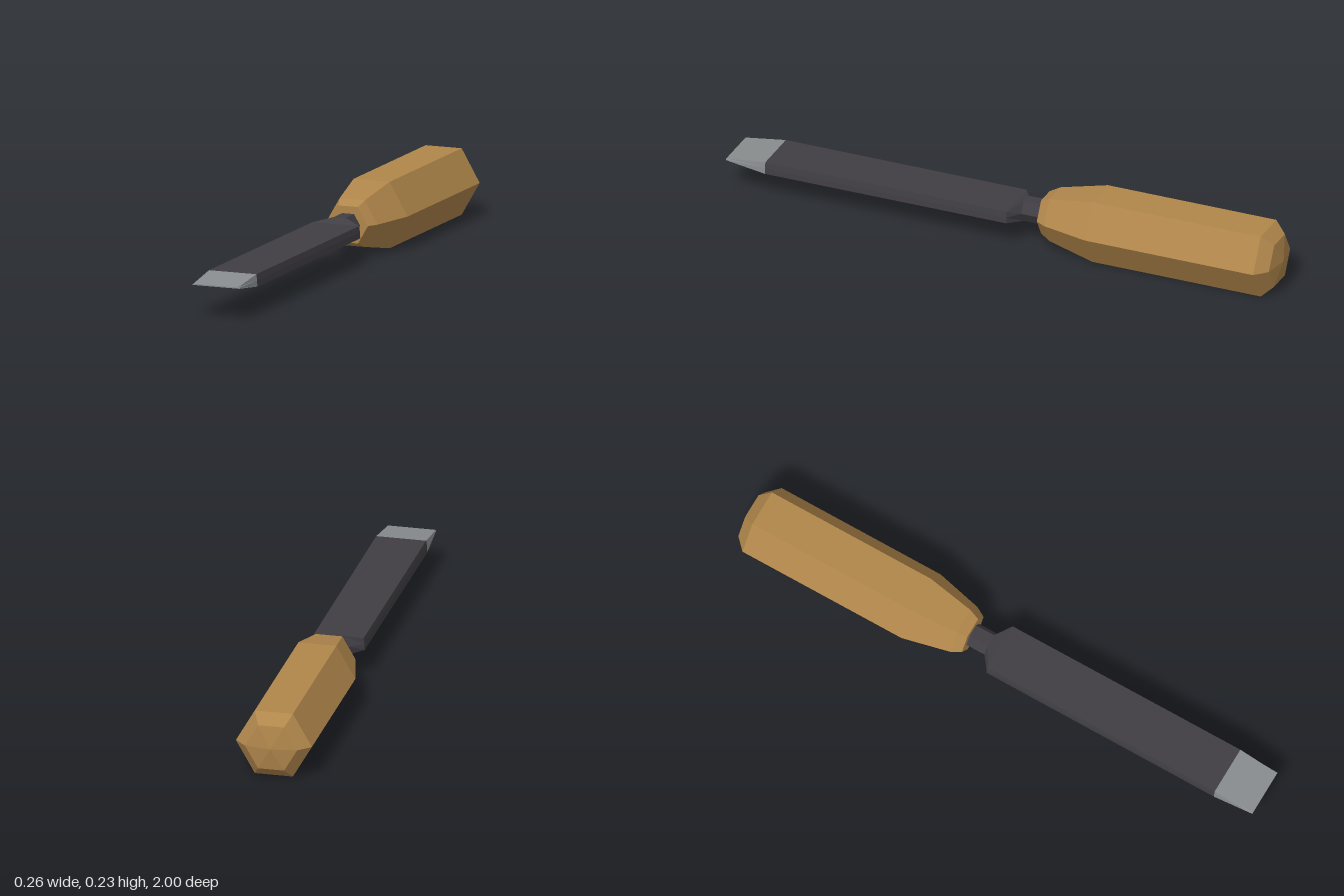
import * as THREE from 'three';

const CENTRE_Y = 0.114;

// Regular six-sided cross-section with flat top and bottom
function hex(r) {
  return Array.from({ length: 6 }, (_, i) => {
    const a = (i * Math.PI) / 3;
    return [r * Math.cos(a), r * Math.sin(a)];
  });
}

// Flat blade cross-section with six corners, matching the hex order
function slab(w, h) {
  return [[w, 0], [w - 0.003, h], [-w + 0.003, h], [-w, 0], [-w - 0.001, -h], [w + 0.001, -h]];
}

// Skin cross-sections listed from back to front and close both ends;
// backTip is the z of the centre of the back cap
function loft(name, sections, material, backTip = sections[0][0]) {
  const pos = [];
  const tri = (...pts) => pts.forEach((p) => pos.push(...p));
  const rings = sections.map(([z, pts]) => pts.map(([x, y]) => [x, y + CENTRE_Y, z]));
  const n = rings[0].length;
  const first = rings[0];
  const last = rings[rings.length - 1];
  const backCentre = [0, CENTRE_Y, backTip];
  const frontCentre = [0, CENTRE_Y, last[0][2]];
  for (let i = 0; i < n; i++) {
    const j = (i + 1) % n;
    for (let k = 0; k < rings.length - 1; k++) {
      const a = rings[k];
      const b = rings[k + 1];
      tri(a[i], a[j], b[j]);
      tri(a[i], b[j], b[i]);
    }
    tri(backCentre, first[j], first[i]);
    tri(frontCentre, last[i], last[j]);
  }
  const geometry = new THREE.BufferGeometry();
  geometry.setAttribute('position', new THREE.Float32BufferAttribute(pos, 3));
  geometry.computeVertexNormals();
  const mesh = new THREE.Mesh(geometry, material);
  mesh.name = name;
  return mesh;
}

function paint(name, color) {
  const material = new THREE.MeshStandardMaterial({ color, flatShading: true });
  material.name = name;
  return material;
}

export function createModel() {
  const wood = paint('wood', 0xb0864b);
  const darkSteel = paint('dark steel', 0x403e43);
  const brightSteel = paint('bright steel', 0x888c8e);

  const model = new THREE.Group();
  model.name = 'chisel';

  // Six-sided handle with a rounded butt and a tapered front
  model.add(loft('handle', [
    [-0.985, hex(0.09)],
    [-0.945, hex(0.131)],
    [-0.33, hex(0.131)],
    [-0.165, hex(0.092)],
    [-0.13, hex(0.072)],
  ], wood, -1));

  // Round-ish neck flaring into the blade
  model.add(loft('neck', [
    [-0.14, hex(0.043)],
    [-0.06, hex(0.043)],
    [-0.025, slab(0.088, 0.021)],
  ], darkSteel));

  // Long flat blade
  model.add(loft('blade', [
    [-0.025, slab(0.088, 0.021)],
    [0.855, slab(0.089, 0.021)],
  ], darkSteel));

  // Ground cutting edge
  model.add(loft('cuttingEdge', [
    [0.855, slab(0.089, 0.021)],
    [1, slab(0.084, 0.002)],
  ], brightSteel));

  return model;
}
